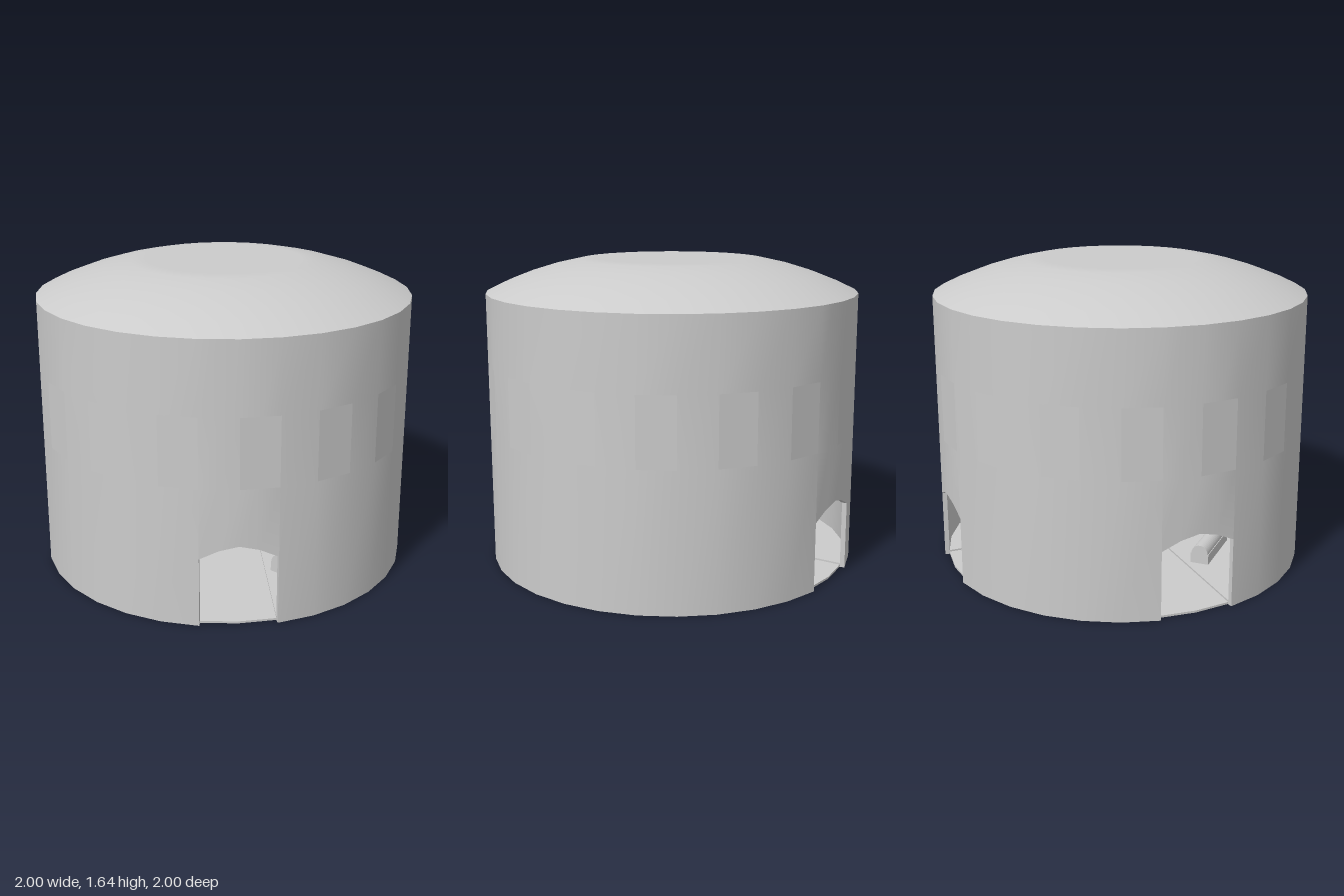
import * as THREE from 'three';
import { mergeVertices } from 'three/addons/utils/BufferGeometryUtils.js';

const SIDES = 32, R = 1, RI = 0.975, WALL_TOP = 1.465;
const WIN_LOW = 0.73, WIN_HIGH = 1.09;
const DOORS = [4, 20, 28]; // door centres, counted in wall sides from the front
const mat = new THREE.MeshStandardMaterial({ color: 0xcccccc, side: THREE.DoubleSide });

// Corner of the 32-sided plan; fractions of t lie on the straight side between corners
function at(t, r, y) {
  const corner = (i) => {
    const a = (i * Math.PI * 2) / SIDES;
    return new THREE.Vector3(Math.sin(a) * r, y, Math.cos(a) * r);
  };
  const i = Math.floor(t);
  return corner(i).lerp(corner(i + 1), t - i);
}

// Four-cornered faces, with shared normals when smooth
function quadMesh(name, quads, smooth) {
  const pos = [];
  for (const [a, b, c, d] of quads)
    for (const p of [a, b, c, a, c, d]) pos.push(p.x, p.y, p.z);
  let geo = new THREE.BufferGeometry();
  geo.setAttribute('position', new THREE.Float32BufferAttribute(pos, 3));
  if (smooth) geo = mergeVertices(geo, 1e-4);
  geo.computeVertexNormals();
  const mesh = new THREE.Mesh(geo, mat);
  mesh.name = name;
  return mesh;
}

// Height of the wall's lower edge: an arch inside a doorway, else the ground
function lowerEdge(t, side) {
  const c = DOORS.find((d) => side === d || side === d - 1);
  if (c === undefined) return 0;
  const off = Math.abs(t - c);
  return off < 0.25 ? 0.435 : off < 0.75 ? 0.41 : 0.365;
}

function buildWall() {
  const outer = [], inner = [], edges = [], windows = [];
  for (let side = 0; side < SIDES; side++) {
    const inDoor = lowerEdge(side, side) > 0;
    const cuts = inDoor ? [side, side + 0.5, side + 1] : [side, side + 1];
    for (let k = 0; k + 1 < cuts.length; k++) {
      const [a, b] = [cuts[k], cuts[k + 1]];
      const ya = lowerEdge(a, side), yb = lowerEdge(b, side);
      const rows = [[ya, yb], [WIN_LOW, WIN_LOW], [WIN_HIGH, WIN_HIGH], [WALL_TOP, WALL_TOP]];
      for (let r = 0; r < 3; r++) {
        const [la, lb] = rows[r], [ha, hb] = rows[r + 1];
        const face = (rad) => [at(a, rad, la), at(b, rad, lb), at(b, rad, hb), at(a, rad, ha)];
        // every second side carries a window panel
        (r === 1 && side % 2 === 0 ? windows : outer).push(face(R));
        inner.push(face(RI).reverse());
      }
      edges.push([at(a, RI, ya), at(b, RI, yb), at(b, R, yb), at(a, R, ya)]);
    }
  }
  // door jambs
  for (const c of DOORS)
    for (const s of [-1, 1]) {
      const t = c + s, h = 0.365;
      const jamb = [at(t, R, 0), at(t, RI, 0), at(t, RI, h), at(t, R, h)];
      edges.push(s < 0 ? jamb : jamb.reverse());
    }
  const wall = new THREE.Group();
  wall.name = 'wall';
  wall.add(
    quadMesh('outerWall', outer, true),
    quadMesh('innerWall', inner, true),
    quadMesh('wallEdgesAndJambs', edges, false),
    quadMesh('windowPanels', windows, false)
  );
  return wall;
}

// Flat slab from a plan outline
function slab(name, points, y, height, hole) {
  const flat = (ps) => ps.map((p) => new THREE.Vector2(p.x, -p.z));
  const shape = new THREE.Shape(flat(points));
  if (hole) shape.holes.push(new THREE.Path(flat(hole)));
  const geo = new THREE.ExtrudeGeometry(shape, { depth: height, bevelEnabled: false });
  geo.rotateX(-Math.PI / 2);
  const mesh = new THREE.Mesh(geo, mat);
  mesh.name = name;
  mesh.position.y = y;
  return mesh;
}

export function createModel() {
  const model = new THREE.Group();
  model.name = 'roundTower';
  model.add(buildWall());

  // shallow domed roof with a flat crown
  const profile = [[1, 1.465], [0.9, 1.513], [0.78, 1.56], [0.64, 1.603], [0.5, 1.634], [0.42, 1.64], [0, 1.64]];
  const roof = new THREE.Mesh(
    new THREE.LatheGeometry(profile.map(([x, y]) => new THREE.Vector2(x, y)), SIDES), mat);
  roof.name = 'roof';
  model.add(roof);

  // crossing walkways between the doorways
  const innerCorner = RI * Math.sin(Math.PI / 16) * Math.SQRT2;
  const cross = [];
  for (let k = 0; k < 4; k++) {
    for (const i of [3, 4, 5]) cross.push(at(8 * k + i, RI, 0));
    cross.push(at(8 * k + 8, innerCorner, 0));
  }
  model.add(slab('walkwayCross', cross, 0.002, 0.011));

  const hub = new THREE.Mesh(new THREE.CylinderGeometry(0.1, 0.1, 0.01, 24), mat);
  hub.name = 'centreDisc';
  hub.position.y = 0.005;
  model.add(hub);

  // rounded bench cross-section: straight base, domed cushion
  const bench = new THREE.Shape();
  bench.moveTo(-0.05, 0);
  bench.lineTo(0.05, 0);
  bench.lineTo(0.05, 0.056);
  bench.lineTo(0.046, 0.056);
  bench.absellipse(0, 0.056, 0.046, 0.048, 0, Math.PI, false);
  bench.lineTo(-0.05, 0.056);
  const benchGeo = new THREE.ExtrudeGeometry(bench, { depth: 0.36, bevelEnabled: false, curveSegments: 10 });
  benchGeo.translate(0, 0, -0.18);

  // four raised floor quarters, each with a bench over a slot
  for (let k = 0; k < 4; k++) {
    const quarter = new THREE.Group();
    quarter.name = 'floorQuarter' + (k + 1);
    quarter.rotation.y = (k * Math.PI) / 2;
    const outline = [at(0, innerCorner, 0)];
    for (let i = -3; i <= 3; i++) outline.push(at(i, RI, 0));
    const slot = [[-1, -1], [1, -1], [1, 1], [-1, 1]]
      .map(([x, z]) => new THREE.Vector3(x * 0.172, 0, 0.54 + z * 0.044));
    quarter.add(slab('floor', outline, 0.012, 0.01, slot));
    const seat = new THREE.Mesh(benchGeo, mat);
    seat.name = 'bench';
    seat.rotation.y = Math.PI / 2;
    seat.position.set(0, 0.022, 0.54);
    quarter.add(seat);
    model.add(quarter);
  }
  return model;
}
